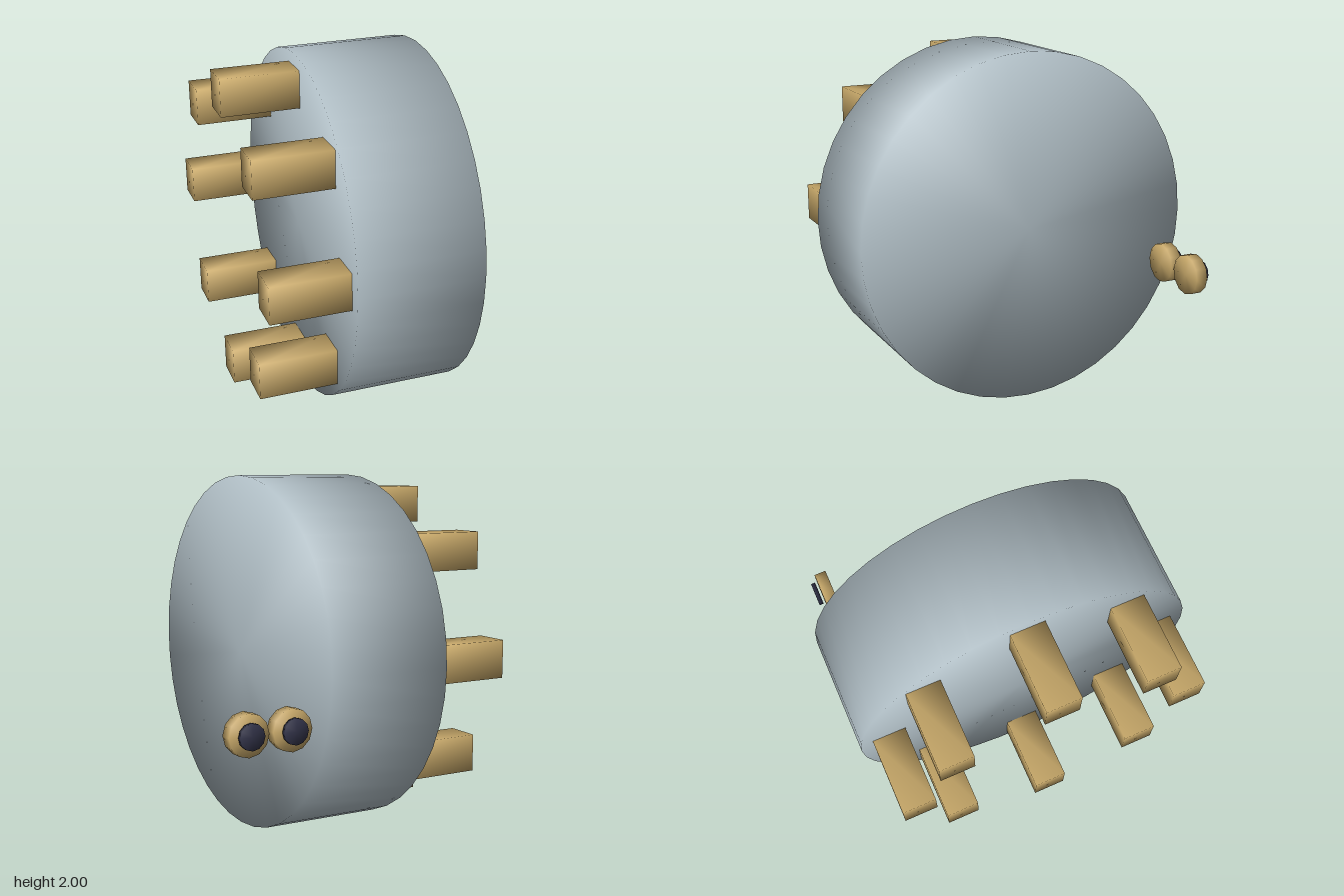
import * as THREE from 'three';
import { mergeVertices } from 'three/addons/utils/BufferGeometryUtils.js';

// Weld all corners so that shading runs smoothly over every edge
function smooth(geometry) {
  geometry.deleteAttribute('normal');
  geometry.deleteAttribute('uv');
  geometry.clearGroups();
  const welded = mergeVertices(geometry, 1e-4);
  welded.computeVertexNormals();
  return welded;
}

export function createModel() {
  const model = new THREE.Group();
  model.name = 'studdedDrum';

  const steel = new THREE.MeshStandardMaterial({ color: 0xb0bec5 });
  steel.name = 'paleSteel';
  const brass = new THREE.MeshStandardMaterial({ color: 0xc8a96a });
  brass.name = 'brass';
  const dark = new THREE.MeshStandardMaterial({ color: 0x33344a });
  dark.name = 'darkSlate';

  function add(name, geometry, material, x, y, z) {
    const mesh = new THREE.Mesh(geometry, material);
    mesh.name = name;
    mesh.position.set(x, y, z);
    model.add(mesh);
  }

  // Drum lying on its side, axis along x
  const drum = smooth(new THREE.CylinderGeometry(1, 1, 0.71, 40).rotateZ(Math.PI / 2));
  add('drum', drum, steel, -0.037, 1, 0);

  // Ring of eight square pegs on the -x end
  const peg = smooth(new THREE.BoxGeometry(0.44, 0.211, 0.194));
  for (let i = 0; i < 8; i++) {
    const a = (i * Math.PI) / 4;
    add('peg', peg, brass, -0.611, 1.002 + 0.822 * Math.cos(a), -0.004 + 0.822 * Math.sin(a));
  }

  // Two round buttons with dark discs behind them
  const button = smooth(new THREE.CylinderGeometry(0.114, 0.114, 0.07, 12).rotateX(Math.PI / 2));
  const disc = smooth(new THREE.CylinderGeometry(0.07, 0.07, 0.025, 12).rotateX(Math.PI / 2));
  for (const x of [0.463, 0.712]) {
    add('button', button, brass, x, 0.733, -0.826);
    add('disc', disc, dark, x, 0.733, -0.888);
  }

  return model;
}
